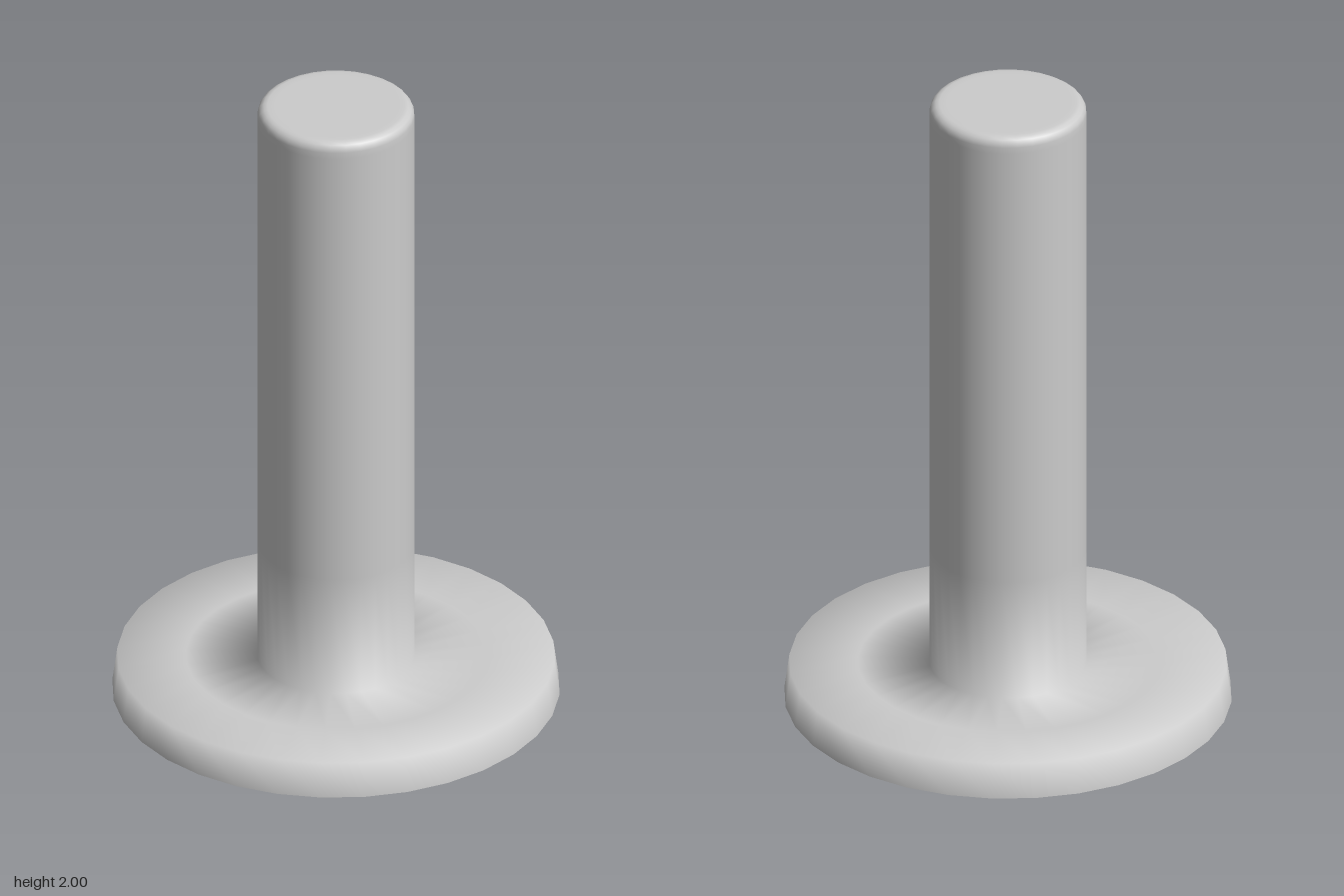
import * as THREE from 'three';

const SIDES = 32;
const FOOT_R = 0.67, FOOT_H = 0.11;
const POST_R = 0.235, POST_TOP = 2, BEVEL = 0.03;

export function createModel() {
  const group = new THREE.Group();
  const material = new THREE.MeshStandardMaterial({ color: 0xcccccc });

  // Flange and post turned as one piece, so shading flows through the joint
  const profile = [
    [FOOT_R, 0], [FOOT_R - 0.015, FOOT_H], [0.45, FOOT_H],
    [POST_R, FOOT_H], [POST_R, 0.5], [POST_R, POST_TOP - BEVEL - 0.02],
  ].map(([r, y]) => new THREE.Vector2(r, y));

  // Rounded top edge of the post
  for (let i = 0; i <= 4; i++) {
    const a = (i / 4) * Math.PI / 2;
    profile.push(new THREE.Vector2(
      POST_R - BEVEL + BEVEL * Math.cos(a),
      POST_TOP - BEVEL + BEVEL * Math.sin(a)));
  }
  profile.push(new THREE.Vector2(POST_R - BEVEL - 0.02, POST_TOP), new THREE.Vector2(0, POST_TOP));

  const post = new THREE.Mesh(new THREE.LatheGeometry(profile, SIDES), material);
  post.name = 'flangedPost';
  group.add(post);

  // Flat underside closing the flange
  const underside = new THREE.Mesh(new THREE.CircleGeometry(FOOT_R, SIDES), material);
  underside.rotation.x = Math.PI / 2;
  underside.name = 'flangeUnderside';
  group.add(underside);

  return group;
}
